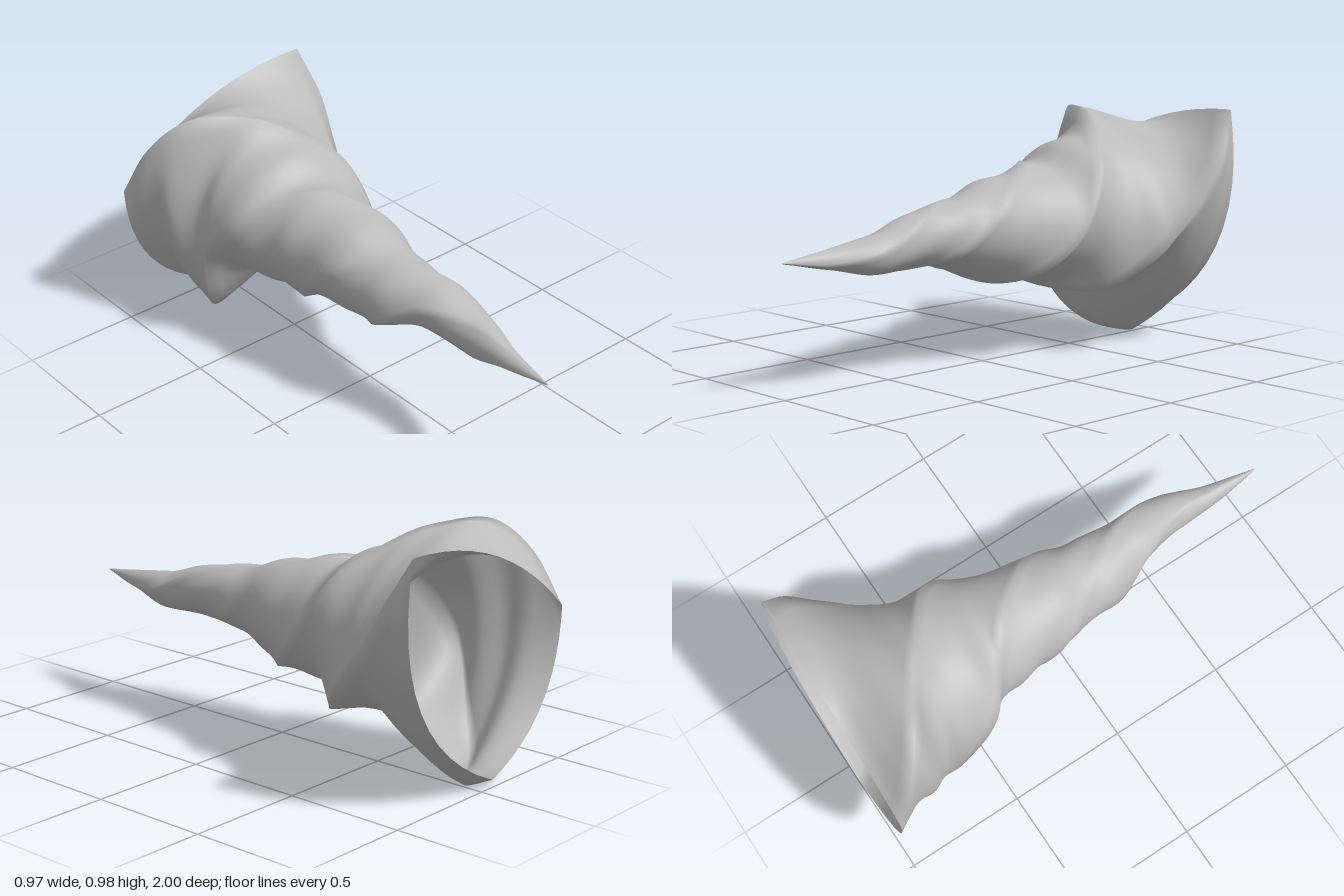
import * as THREE from 'three';

// Stations from tip to mouth: z, then angle (degrees) and radius of the three ridges
const STATIONS = [
  [1, 0, 0.003, 90, 0.003, 230, 0.003],
  [0.8, -25, 0.06, 75, 0.035, 220, 0.035],
  [0.6, 5, 0.12, 95, 0.06, 260, 0.08],
  [0.4, 50, 0.145, 150, 0.11, 290, 0.09],
  [0.2, 100, 0.16, 210, 0.17, 350, 0.14],
  [0, 155, 0.21, 275, 0.19, 405, 0.21],
  [-0.15, 197, 0.21, 323, 0.24, 438, 0.25],
  [-0.3, 250, 0.24, 363, 0.285, 470, 0.285],
  [-0.45, 312, 0.335, 409, 0.345, 517, 0.35],
  [-0.6, 342, 0.405, 448, 0.41, 550, 0.36],
  [-0.7, 359, 0.44, 466, 0.475, 589, 0.45],
  [-0.8, 374, 0.485, 484, 0.545, 609, 0.51],
  [-0.9, 390, 0.56, 503, 0.535, 628, 0.51],
  [-1, 407, 0.645, 527, 0.5, 622, 0.485],
];
// Outward bow of each side at the same stations, as a share of its chord
const BOWS = [
  [0.2, 0.2, 0.2], [0.2, 0.2, 0.25], [0.2, 0.2, 0.28], [0.2, 0.18, 0.28], [0.24, 0.2, 0.28],
  [0.22, 0.25, 0.28], [0.2, 0.2, 0.28], [0.18, 0.18, 0.3], [0.13, 0.24, 0.25], [0.13, 0.2, 0.2],
  [0.12, 0.15, 0.12], [0.12, 0.17, 0.14], [0.11, 0.17, 0.13], [0.1, 0.17, 0.2],
];
const AXIS_Y = 0.51;
const STEPS = 104; // rings along the length
const SIDE = 12; // segments between two ridges

const smoothCurve = (points) => new THREE.CatmullRomCurve3(points, false, 'catmullrom', 0.5);

// One smooth spiral curve per ridge
function ridgeCurve(k) {
  return smoothCurve(STATIONS.map((s) => {
    const a = THREE.MathUtils.degToRad(s[1 + 2 * k]);
    const r = s[2 + 2 * k];
    return new THREE.Vector3(r * Math.cos(a), AXIS_Y + r * Math.sin(a), s[0]);
  }));
}

// Twisted three-sided skin, each side bowed outward between its ridges
function shellGeometry() {
  const ridges = [0, 1, 2].map(ridgeCurve);
  const bowCurve = smoothCurve(BOWS.map((b) => new THREE.Vector3(...b)));
  const ring = SIDE * 3;
  const positions = [];
  const indices = [];
  for (let i = 0; i <= STEPS; i++) {
    const t = i / STEPS;
    const corners = ridges.map((c) => c.getPoint(t));
    const bow = bowCurve.getPoint(t).toArray();
    for (let k = 0; k < 3; k++) {
      const a = corners[k];
      const b = corners[(k + 1) % 3];
      for (let j = 0; j < SIDE; j++) {
        const u = j / SIDE;
        const out = 4 * u * (1 - u) * bow[k];
        positions.push(
          a.x + (b.x - a.x) * u + (b.y - a.y) * out,
          a.y + (b.y - a.y) * u - (b.x - a.x) * out,
          a.z
        );
      }
    }
  }
  for (let i = 0; i < STEPS; i++) {
    for (let j = 0; j < ring; j++) {
      const a = i * ring + j;
      const b = i * ring + ((j + 1) % ring);
      indices.push(a, a + ring, b, b, a + ring, b + ring);
    }
  }
  const geometry = new THREE.BufferGeometry();
  geometry.setAttribute('position', new THREE.Float32BufferAttribute(positions, 3));
  geometry.setIndex(indices);
  geometry.computeVertexNormals();
  return geometry;
}

export function createModel() {
  const model = new THREE.Group();
  model.name = 'spiralShell';
  const shellGrey = new THREE.MeshStandardMaterial({ color: 0xbcbcbc, side: THREE.DoubleSide });
  shellGrey.name = 'shellGrey';

  // Open-mouthed spiral horn
  const shell = new THREE.Mesh(shellGeometry(), shellGrey);
  shell.name = 'shell';
  model.add(shell);
  return model;
}
